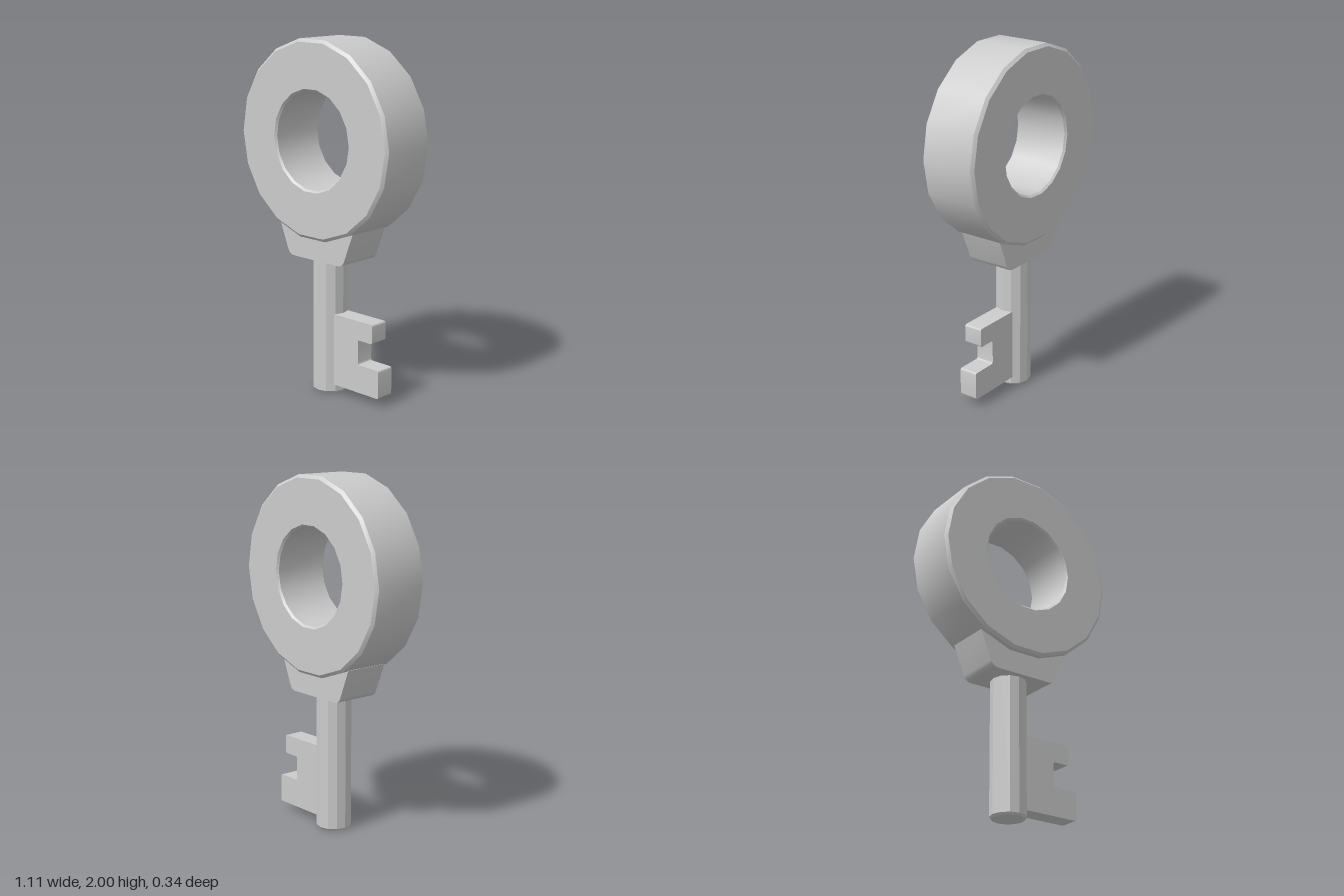
import * as THREE from 'three';
import { toCreasedNormals } from 'three/addons/utils/BufferGeometryUtils.js';

const material = new THREE.MeshStandardMaterial({ color: 0xcccccc });

function part(name, geometry, x = 0, y = 0) {
  const mesh = new THREE.Mesh(toCreasedNormals(geometry, 0.5), material);
  mesh.name = name;
  mesh.position.set(x, y, 0);
  return mesh;
}

function lathe(points, sides, start = 0) {
  return new THREE.LatheGeometry(points.map(([r, y]) => new THREE.Vector2(r, y)), sides, start);
}

// Plate with rounded corners; each corner is [x, y, radius]
function plate(corners, depth) {
  const shape = new THREE.Shape();
  corners.forEach(([x, y, r], i) => {
    const n = corners.length;
    const p = new THREE.Vector2(x, y);
    const toward = ([a, b]) => new THREE.Vector2(a, b).sub(p).setLength(r).add(p);
    const a = r ? toward(corners[(i + n - 1) % n]) : p;
    const b = r ? toward(corners[(i + 1) % n]) : p;
    if (i === 0) shape.moveTo(a.x, a.y);
    else shape.lineTo(a.x, a.y);
    if (r) shape.quadraticCurveTo(x, y, b.x, b.y);
  });
  shape.closePath();
  const geometry = new THREE.ExtrudeGeometry(shape, { depth, bevelEnabled: false, curveSegments: 4 });
  return geometry.translate(0, 0, -depth / 2);
}

export function createModel() {
  const key = new THREE.Group();
  key.name = 'key';

  // Eighteen-sided ring handle with chamfered rims
  const ring = lathe([
    [0.274, -0.158], [0.285, -0.17], [0.538, -0.17], [0.555, -0.155],
    [0.555, 0.155], [0.538, 0.17], [0.285, 0.17], [0.274, 0.158], [0.274, -0.158],
  ], 18, Math.PI / 2);
  ring.rotateX(Math.PI / 2);
  key.add(part('ringHandle', ring, 0, 1.453));

  // Tapered collar, its top buried in the ring
  key.add(part('collar', plate([
    [-0.208, 0.78, 0.035], [0.2, 0.78, 0.035], [0.28, 0.978, 0], [-0.288, 0.978, 0],
  ], 0.26), 0, 0));

  // Round shaft with a chamfered foot
  key.add(part('shaft', lathe([
    [0, 0], [0.09, 0], [0.1, 0.012], [0.1, 0.85], [0, 0.85],
  ], 12), -0.015, 0));

  // Notched bit with two teeth
  const r = 0.012;
  key.add(part('bit', plate([
    [0, 0.052, 0], [0.402, 0.052, r], [0.402, 0.215, r], [0.25, 0.215, r],
    [0.25, 0.358, r], [0.355, 0.358, r], [0.355, 0.468, r], [0, 0.468, 0],
  ], 0.11)));

  return key;
}
